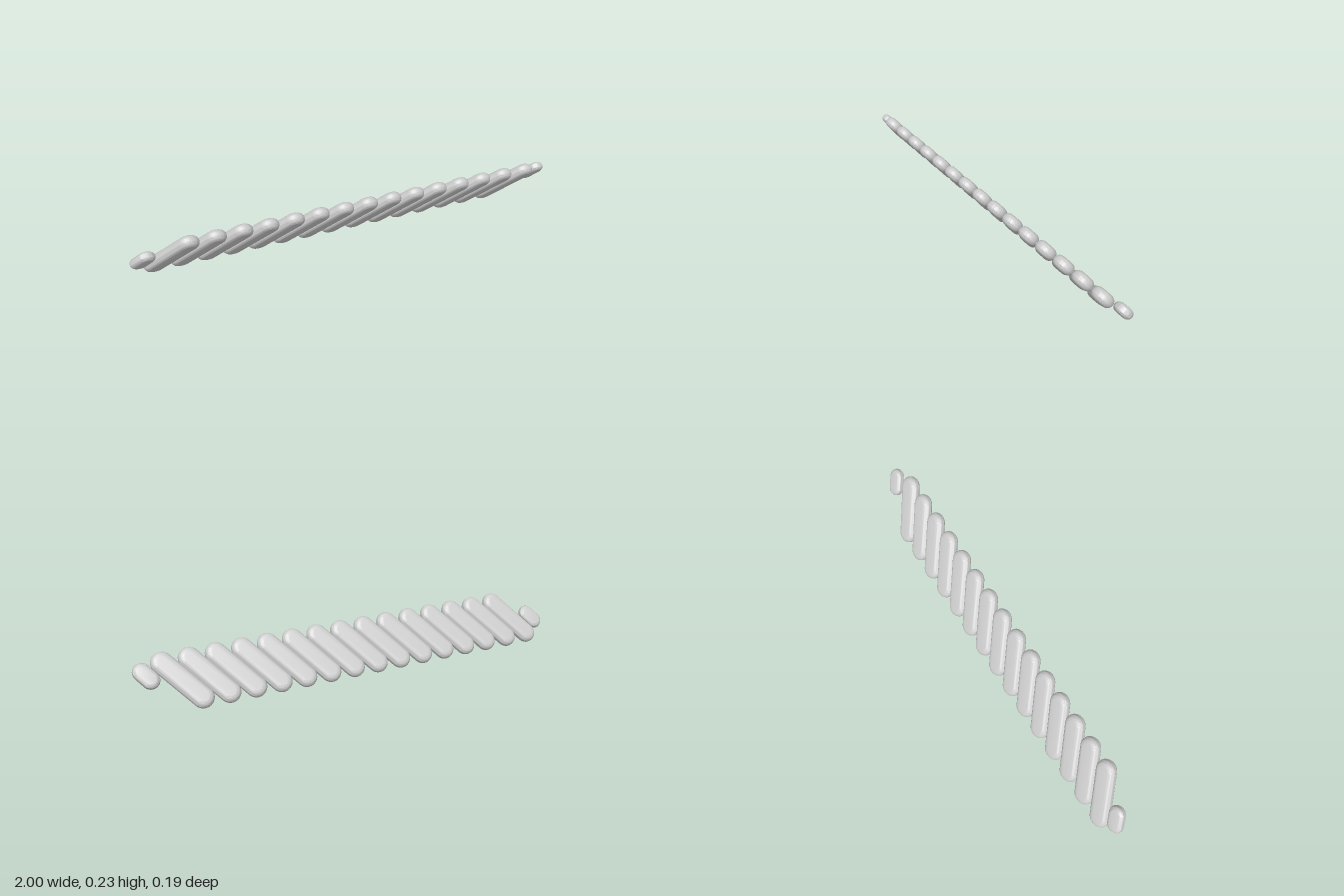
import * as THREE from 'three';
import { mergeVertices, toCreasedNormals } from 'three/addons/utils/BufferGeometryUtils.js';

const material = new THREE.MeshStandardMaterial({ color: 0xcccccc });
const TILT = 0.666; // lean of the whole strip about x
const COUNT = 15;
const SPACING = 0.1164;

// Flat pill with fully rounded edges; (dx, dy) is half the distance between
// its two end centres, radius its half width and half its half thickness.
function pillGeometry(dx, dy, radius, half) {
  const lean = Math.atan2(dy, dx);
  const inner = radius - half;
  const shape = new THREE.Shape();
  shape.absarc(dx, dy, inner, lean - Math.PI / 2, lean + Math.PI / 2, false);
  shape.absarc(-dx, -dy, inner, lean + Math.PI / 2, lean + Math.PI * 1.5, false);
  shape.closePath();
  const depth = 0.002;
  let geometry = new THREE.ExtrudeGeometry(shape, {
    depth,
    curveSegments: 16,
    bevelEnabled: true,
    bevelThickness: half - depth / 2,
    bevelSize: half,
    bevelSegments: 8,
  });
  geometry.translate(0, 0, -depth / 2);
  geometry.deleteAttribute('uv');
  geometry.deleteAttribute('normal');
  geometry = mergeVertices(geometry, 1e-5);
  return toCreasedNormals(geometry, 0.9);
}

export function createModel() {
  const group = new THREE.Group();
  group.name = 'twistedStrip';

  function add(name, geometry, x, y, z) {
    const mesh = new THREE.Mesh(geometry, material);
    mesh.name = name;
    mesh.position.set(x, y, z);
    mesh.rotation.x = TILT;
    group.add(mesh);
  }

  // Row of slanted strands
  const strand = pillGeometry(0.0685, 0.0885, 0.048, 0.0265);
  for (let i = 0; i < COUNT; i++) {
    add(`strand${i + 1}`, strand, -0.8275 + i * SPACING, 0.113, 0);
  }

  // Short end pieces
  const end = pillGeometry(0.0145, 0.02, 0.039, 0.021);
  add('leftEnd', end, 0.946, 0.153, 0.016);
  add('rightEnd', end, -0.946, 0.103, -0.013);

  return group;
}
